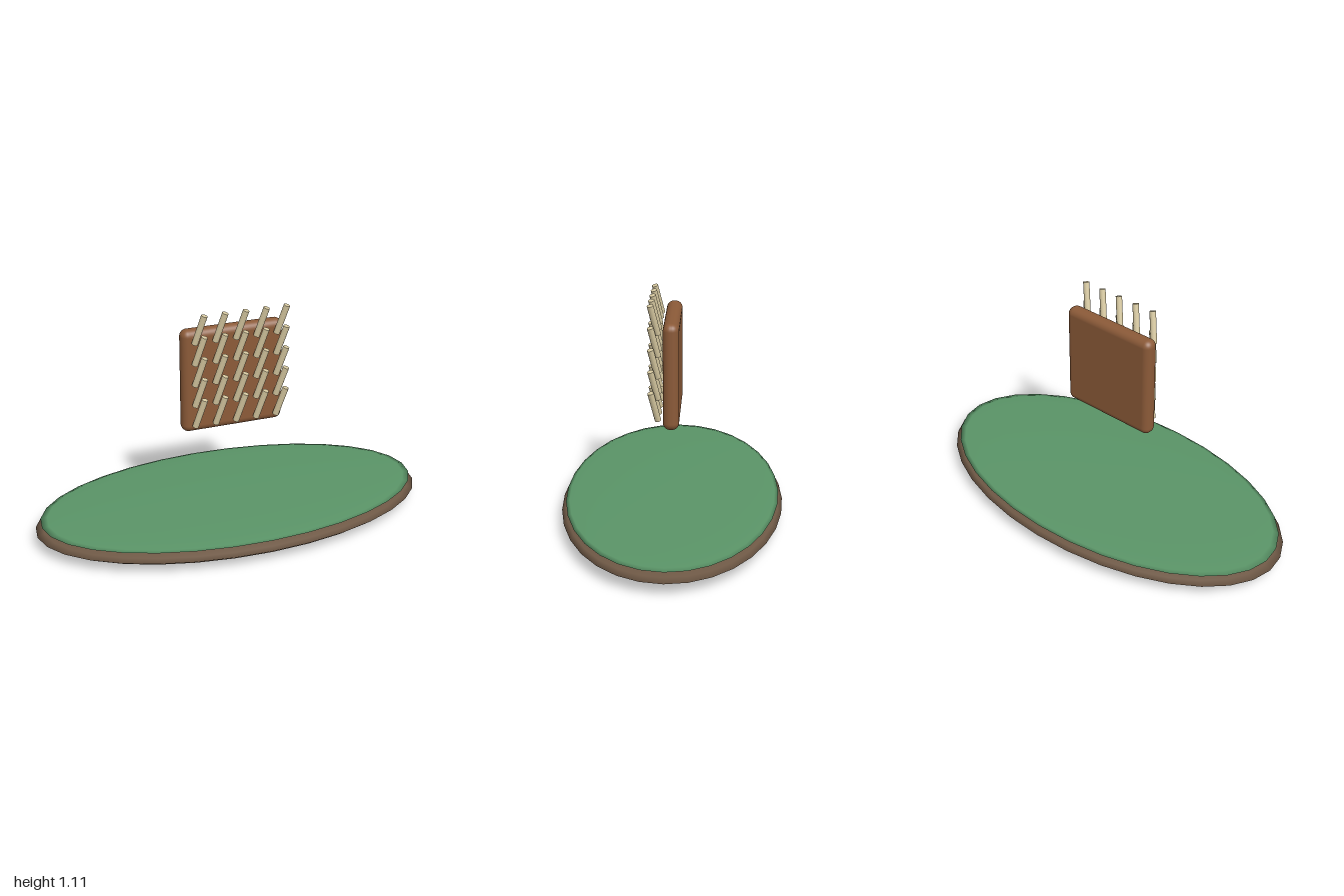
import * as THREE from 'three';
import { RoundedBoxGeometry } from 'three/addons/geometries/RoundedBoxGeometry.js';

const material = (color) => new THREE.MeshStandardMaterial({ color });

function part(name, geometry, mat) {
  const mesh = new THREE.Mesh(geometry, mat);
  mesh.name = name;
  return mesh;
}

// Smooth flattened ellipsoid centred at height y
function disc(name, rx, ry, rz, y, mat) {
  const mesh = part(name, new THREE.SphereGeometry(1, 32, 12).scale(rx, ry, rz), mat);
  mesh.position.y = y;
  return mesh;
}

export function createModel() {
  const model = new THREE.Group();
  model.name = 'pegBoardOverIsland';

  // Oval island: earth below, grass cap on top
  model.add(disc('earthBase', 1, 0.06, 0.545, 0.06, material(0x6e5845)));
  model.add(disc('grassTop', 0.975, 0.018, 0.525, 0.104, material(0x5a9467)));

  // Floating square board with rounded edges
  const board = part('board', new RoundedBoxGeometry(0.52, 0.52, 0.077, 4, 0.035), material(0x8b5a38));
  board.position.y = 0.753;
  model.add(board);

  // Five by five grid of pegs, all leaning the same way
  const lean = new THREE.Vector3(0.038, 0.146, 0.033);
  const pegGeometry = new THREE.CylinderGeometry(0.0155, 0.0155, lean.length(), 12);
  const pegMaterial = material(0xd6c8a0);
  const tilt = new THREE.Quaternion().setFromUnitVectors(
    new THREE.Vector3(0, 1, 0), lean.clone().normalize());
  const pegs = new THREE.Group();
  pegs.name = 'pegs';
  for (let row = 0; row < 5; row++) {
    for (let col = 0; col < 5; col++) {
      const peg = part('peg', pegGeometry, pegMaterial);
      peg.quaternion.copy(tilt);
      peg.position.set(-0.21 + col * 0.105, 0.534 + row * 0.1055, 0.0625).addScaledVector(lean, 0.5);
      pegs.add(peg);
    }
  }
  model.add(pegs);
  return model;
}
